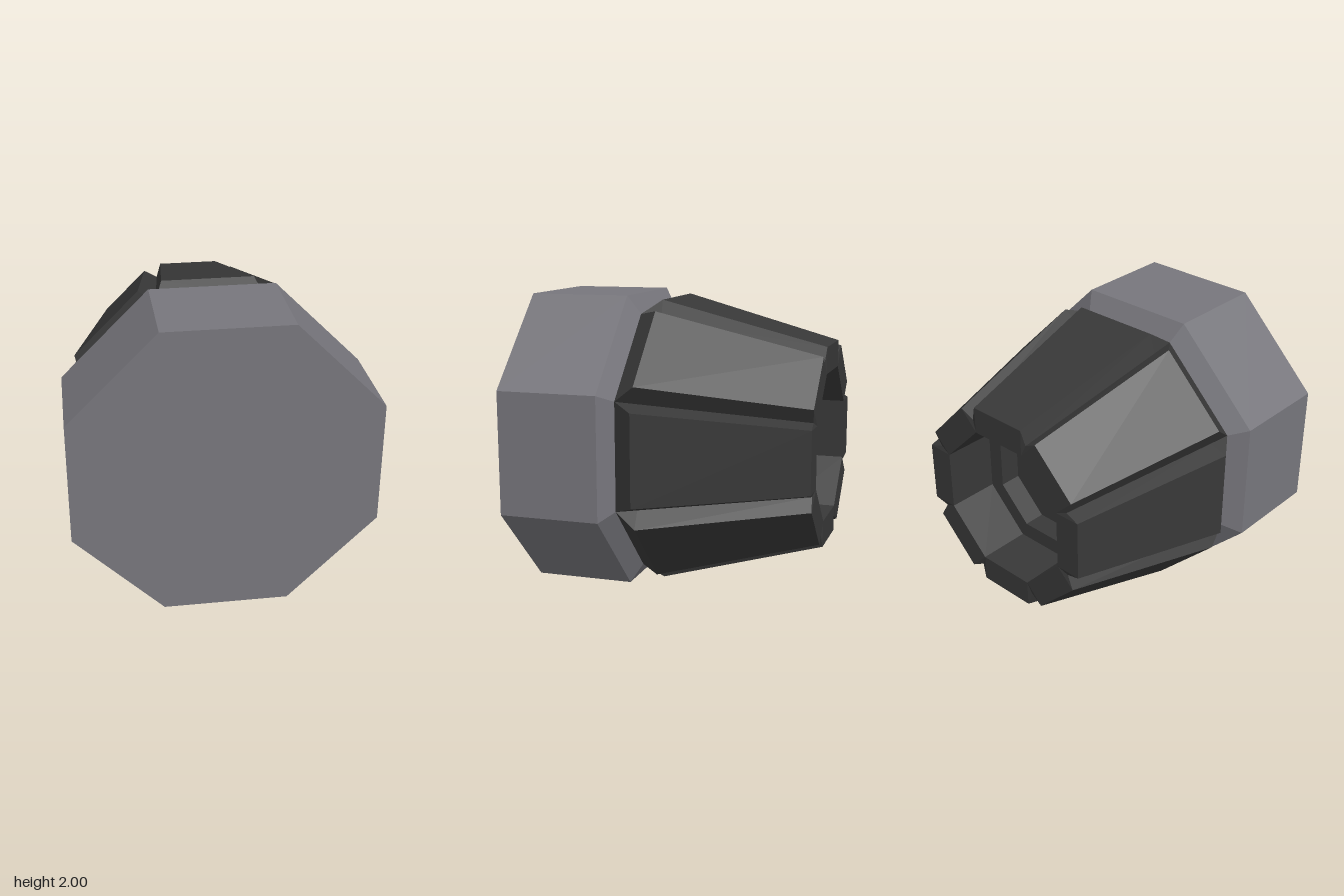
import * as THREE from 'three';

const SIDES = 8;
const T = Math.tan(Math.PI / SIDES); // half side length per unit of apothem

// One octagonal cross-section: per side two panel-edge points and a corner point.
// a = apothem of the flat, h = half width of the flat, c = apothem of the corner (groove floor).
function section({ z, a, h = a * T, c = a, cz = z }) {
  const pts = [];
  for (let i = 0; i < SIDES; i++) {
    const t = (i / SIDES) * Math.PI * 2;
    const put = (u, v, d) => pts.push(new THREE.Vector3(
      u * Math.cos(t) - v * Math.sin(t), u * Math.sin(t) + v * Math.cos(t), d));
    put(a, -h, z);
    put(a, h, z);
    put(c, c * T, cz);
  }
  return pts;
}

// Skin a list of cross-sections, leaving out collapsed triangles
function loft(name, material, sections) {
  const rings = sections.map(section);
  const pos = [];
  const tri = (p, q, r) => {
    const n = q.clone().sub(p).cross(r.clone().sub(p));
    if (n.length() > 1e-7) for (const v of [p, q, r]) pos.push(v.x, v.y, v.z);
  };
  for (let i = 0; i < rings.length - 1; i++) {
    const A = rings[i], B = rings[i + 1], n = A.length;
    for (let j = 0; j < n; j++) {
      const k = (j + 1) % n;
      tri(A[j], B[j], B[k]);
      tri(A[j], B[k], A[k]);
    }
  }
  const geo = new THREE.BufferGeometry();
  geo.setAttribute('position', new THREE.Float32BufferAttribute(pos, 3));
  geo.computeVertexNormals();
  const mesh = new THREE.Mesh(geo, material);
  mesh.name = name;
  mesh.position.y = 1;
  return mesh;
}

export function createModel() {
  const grey = new THREE.MeshStandardMaterial({ color: 0x77767c, flatShading: true });
  grey.name = 'housingGrey';
  const dark = new THREE.MeshStandardMaterial({ color: 0x383838, flatShading: true });
  dark.name = 'nozzleDark';

  const group = new THREE.Group();
  group.name = 'octagonalNozzle';

  // Solid front block with a chamfered rear edge
  group.add(loft('housing', grey, [
    { z: 1, a: 0 }, { z: 1, a: 1 }, { z: 0.315, a: 1 }, { z: 0.237, a: 0.875 }, { z: 0.237, a: 0 },
  ]));

  // Tapered shroud: eight raised panels with V grooves at the corners
  const back = { z: -1, a: 0.68, h: 0.21, c: 0.58, cz: -0.99 };
  group.add(loft('panelledShroud', dark, [
    { z: 0.237, a: 0.875 },
    { z: 0.1, a: 0.97, h: 0.31, c: 0.842 },
    back,
  ]));

  // Rear rim and stepped recess
  group.add(loft('rearRim', dark, [back, { z: -1, a: 0.5 }]));
  group.add(loft('steppedRecess', dark, [
    { z: -1, a: 0.5 }, { z: -0.64, a: 0.5 }, { z: -0.64, a: 0.39 }, { z: -0.49, a: 0.39 }, { z: -0.49, a: 0 },
  ]));

  return group;
}
